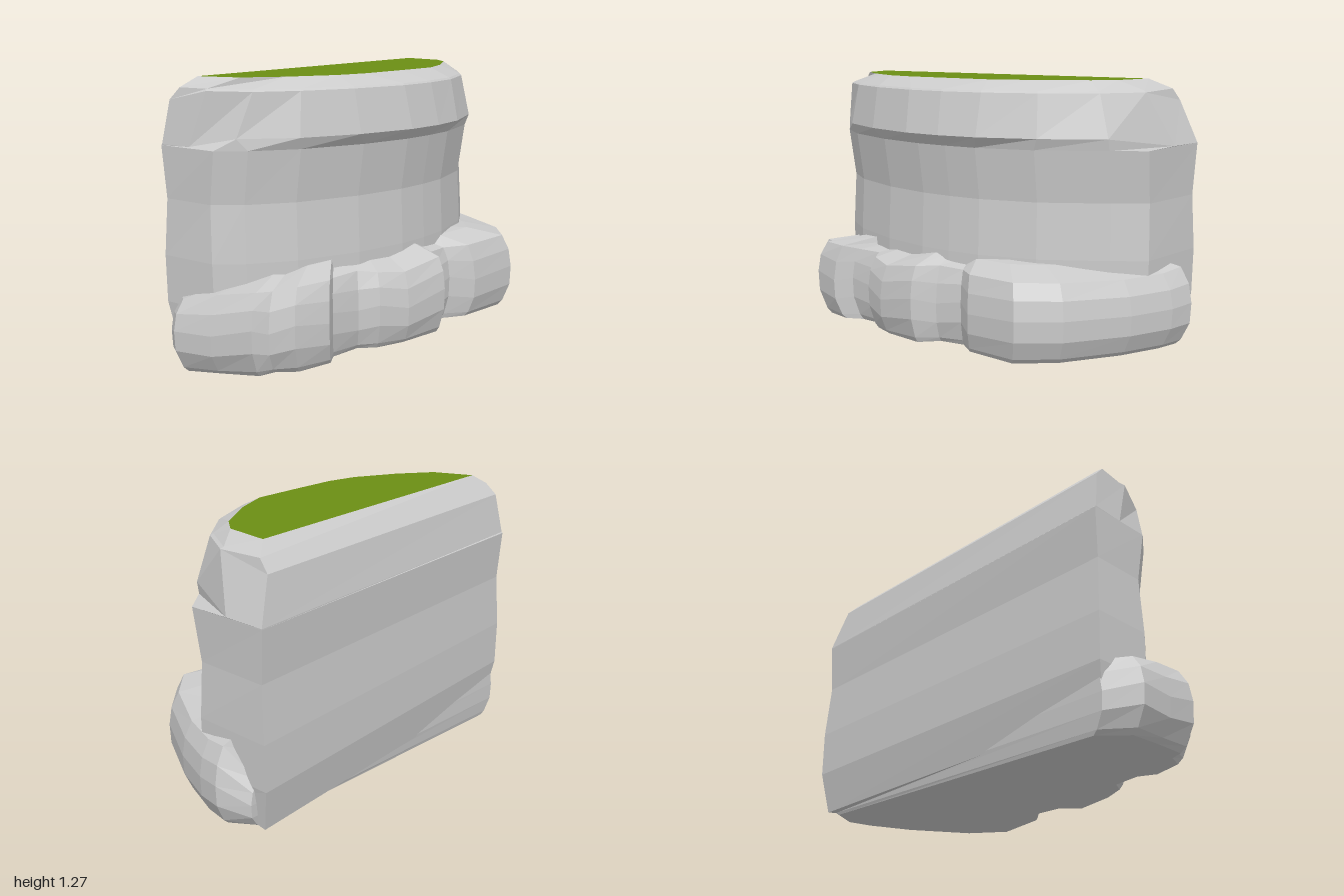
import * as THREE from 'three';

// Skin a stack of rings (bottom to top); each ring runs left back -> front -> right back
function loft(rings) {
  const n = rings[0].length, index = [];
  for (let i = 0; i < rings.length - 1; i++)
    for (let j = 0; j < n; j++) {
      const a = i * n + j, b = i * n + (j + 1) % n;
      index.push(a, b, b + n, a, b + n, a + n);
    }
  return toGeometry(rings.flat(), index);
}

// Fill a ring with a flat face that looks up or down
function cap(ring, up) {
  const contour = ring.map(([x, , z]) => new THREE.Vector2(x, -z));
  const faces = THREE.ShapeUtils.triangulateShape(contour, []);
  return toGeometry(ring, faces.flatMap(([a, b, c]) => (up ? [a, b, c] : [a, c, b])));
}

function toGeometry(points, index) {
  const g = new THREE.BufferGeometry();
  g.setAttribute('position', new THREE.Float32BufferAttribute(points.flat(), 3));
  g.setIndex(index);
  g.computeVertexNormals();
  return g;
}

export function createModel() {
  const group = new THREE.Group();
  const stone = new THREE.MeshStandardMaterial({ color: 0xcccccc, flatShading: true });
  const moss = new THREE.MeshStandardMaterial({ color: 0x6b8e14, flatShading: true });
  const add = (name, geometry, material = stone) => {
    const mesh = new THREE.Mesh(geometry, material);
    mesh.name = name;
    group.add(mesh);
  };

  // Half-round outlines [x, z] seen from above: wall, overhanging rim, its upper edge, top face
  const wall = [[-.91, -.41], [-.9, -.13], [-.81, -.02], [-.63, .11], [-.35, .22], [-.1, .27], [.06, .275],
    [.22, .265], [.48, .19], [.75, .02], [.885, -.08], [.91, -.46]];
  const rim = [[-.91, -.405], [-.9, -.25], [-.84, -.03], [-.65, .15], [-.4, .27], [-.13, .342], [.06, .35],
    [.25, .325], [.5, .225], [.75, .055], [.9, -.26], [.91, -.46]];
  const shoulder = [[-.89, -.37], [-.87, -.17], [-.78, .01], [-.62, .13], [-.4, .235], [-.14, .305], [.05, .312],
    [.25, .285], [.48, .19], [.69, .03], [.81, -.15], [.835, -.425]];
  const top = [[-.81, -.28], [-.75, -.09], [-.6, .03], [-.5, .085], [-.4, .14], [-.25, .175], [0, .185],
    [.22, .19], [.4, .12], [.62, -.01], [.7, -.1], [.735, -.31]];

  // Ring with its own height and shift for the rear points at both ends
  const level = (outline, y, { sx = 1, front = 0, back = 0, yBack = y, ends = 1 } = {}) =>
    outline.map(([x, z], j) => {
      const rear = j < ends || j >= outline.length - ends;
      return [x * sx, rear ? yBack : y, z + (rear ? back : front)];
    });

  const topRing = level(top, 1.272);
  const bodyRings = [
    level(wall, .15, { sx: .965, yBack: .098, back: .035 }),
    level(wall, .29, { sx: .995 }),
    level(wall, .5),
    level(wall, .75, { sx: .99, front: -.01, back: .015 }),
    level(wall, .98, { front: .025 }),
    level(rim, 1.03, { yBack: .985, ends: 2 }),
    level(shoulder, 1.22, { yBack: 1.175 }),
    level(shoulder, 1.228, { sx: .985, front: -.008, back: .05 }),
    topRing,
  ];
  add('body', loft(bodyRings));
  add('bodyUnderside', cap(bodyRings[0], false));
  add('mossTop', cap(topRing, true), moss);

  // Lumpy boulder skirt around the foot: [x, z, height of its upper edge]
  const skirt = [[-.9, -.4, .33], [-1, -.27, .35], [-.97, -.08, .4], [-.93, .12, .43], [-.86, .15, .43],
    [-.81, .25, .45], [-.65, .3, .46], [-.57, .25, .44], [-.42, .27, .45], [-.37, .35, .44],
    [-.24, .41, .43], [-.02, .45, .46], [.05, .355, .46], [.18, .34, .45], [.28, .42, .46],
    [.55, .455, .465], [.71, .32, .46], [.88, .05, .45], [.97, -.15, .455], [1, -.27, .47], [.92, -.39, .32]];
  // Each layer: scale about the middle, height as a share of the upper edge
  const layers = [[.93, 0], [.955, .06], [.995, .28], [1, .53], [.985, .76], [.945, .95], [.74, 1.06], [.55, 1.08]];
  const skirtRings = layers.map(([s, t]) => skirt.map(([x, z, h], j) => {
    // the underside dips towards the rear corner on -x, where the lobes are also bumpier
    const base = .096 - (1 - x) / 2 * (.06 - .1 * z);
    const wobble = x < .3 ? .014 * (j % 2 ? 1 : -1) * Math.sin(Math.PI * Math.min(t, 1)) : 0;
    return [x * s, base + (h - base) * t + wobble, -.2 + (z + .2) * s];
  }));
  add('boulderSkirt', loft(skirtRings));
  add('skirtUnderside', cap(skirtRings[0], false));

  return group;
}
